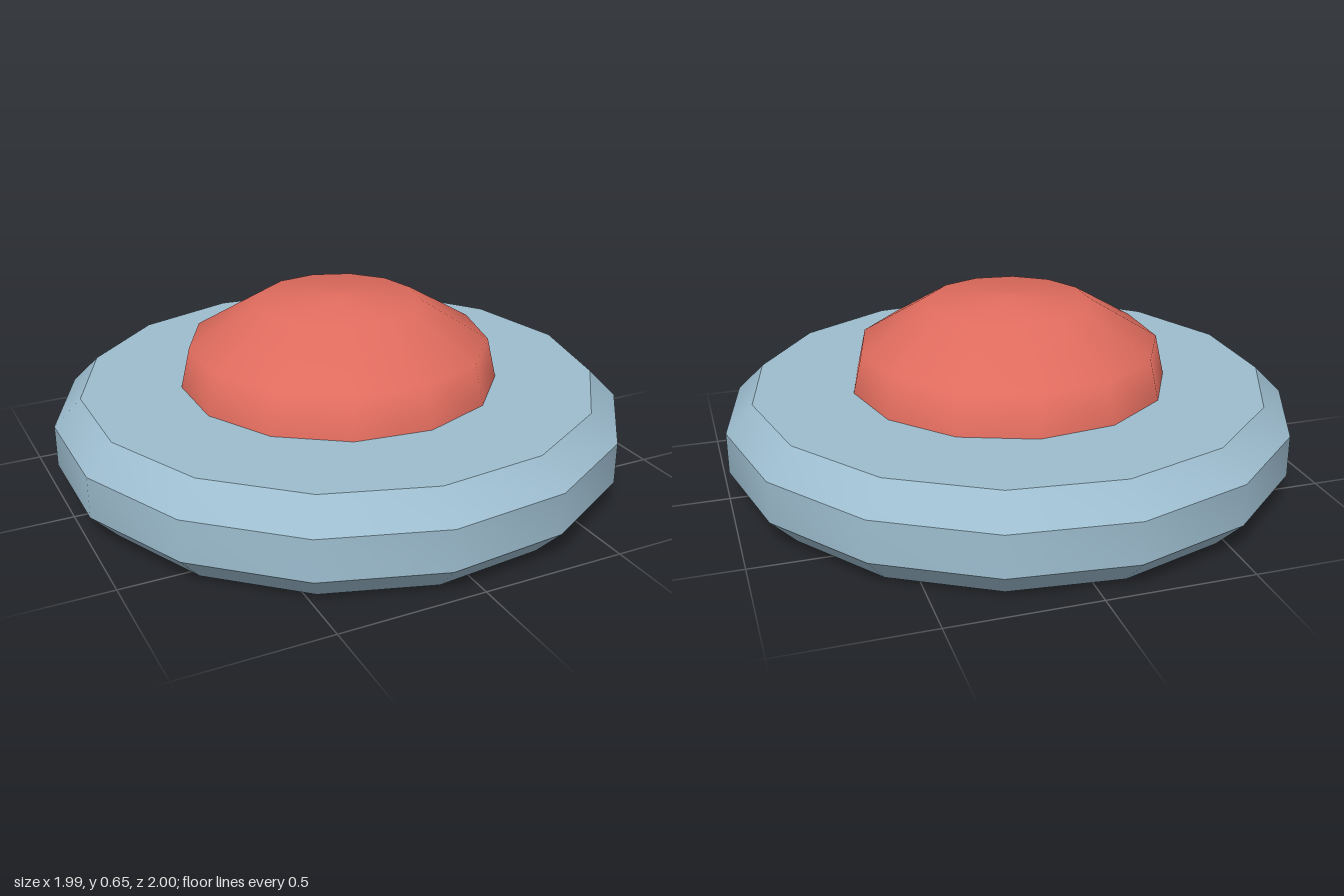
import * as THREE from 'three';
import { toCreasedNormals } from 'three/addons/utils/BufferGeometryUtils.js';

// Turn an [r, y] profile, listed bottom to top, with a corner on +x
function turn(profile, sides) {
  const points = profile.map(([r, y]) => new THREE.Vector2(r, y));
  return new THREE.LatheGeometry(points, sides, Math.PI / 2);
}

export function createModel() {
  const blue = new THREE.MeshStandardMaterial({ color: 0x9dbdcf });
  blue.name = 'pale blue';
  const red = new THREE.MeshStandardMaterial({ color: 0xe06c5e });
  red.name = 'coral red';

  const model = new THREE.Group();
  model.name = 'pushButton';

  // 15-sided bevelled base, smooth around and sharp between bands
  const baseProfile = [[0, 0], [0.91, 0], [1.0055, 0.1], [1.0055, 0.245], [0.91, 0.34], [0, 0.34]];
  const base = new THREE.Mesh(toCreasedNormals(turn(baseProfile, 15), 0.5), blue);
  base.name = 'base';

  // 13-sided smooth dome
  const domeProfile = [[0.561, 0.34], [0.529, 0.482], [0.288, 0.626], [0, 0.648]];
  const dome = new THREE.Mesh(turn(domeProfile, 13), red);
  dome.name = 'buttonDome';

  // Odd side counts need a small shift to centre the model
  for (const part of [base, dome]) {
    part.position.x = -0.011;
    model.add(part);
  }
  return model;
}
